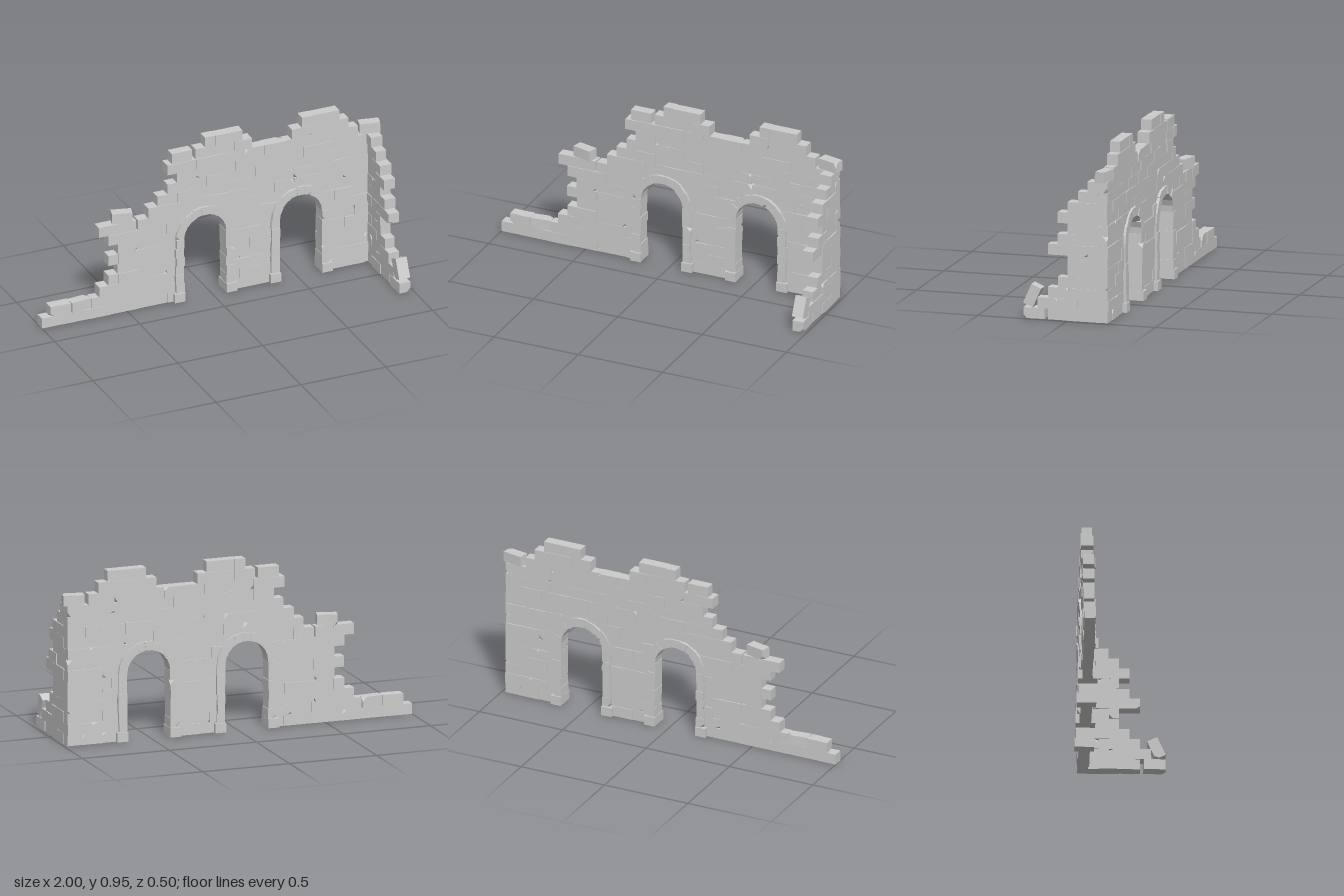
import * as THREE from 'three';
import { mergeGeometries } from 'three/addons/utils/BufferGeometryUtils.js';
import { ConvexGeometry } from 'three/addons/geometries/ConvexGeometry.js';

const H = 0.0594;                 // course height
const ARCHES = [-0.045, 0.518];   // arch centre lines
const SPRING = 0.37, R_IN = 0.124, R_OUT = 0.172, R_CUT = 0.148;
const BACK = -0.225, FRONT = -0.165;

let seed = 7;
const rnd = () => (seed = (seed * 16807) % 2147483647) / 2147483647;
const jitter = a => (rnd() - 0.5) * 2 * a;

// Stone with a four-cornered outline (in order), from z0 to z1; some get a chipped corner
function stone(quad, z0, z1, chipChance = 0.35) {
  const c = [];
  for (const z of [z0, z1]) for (const [x, y] of quad) c.push(new THREE.Vector3(x, y, z));
  const chip = rnd() < chipChance ? Math.floor(rnd() * 8) : -1;
  const pts = [];
  c.forEach((p, i) => {
    if (i !== chip) return pts.push(p);
    const k = i % 4, b = i - k;
    for (const n of [b + (k + 1) % 4, b + (k + 3) % 4, (i + 4) % 8]) {
      const d = c[n].clone().sub(p);
      pts.push(p.clone().addScaledVector(d.normalize(), Math.min(0.012 + rnd() * 0.02, p.distanceTo(c[n]) * 0.5)));
    }
  });
  const g = new ConvexGeometry(pts);
  g.deleteAttribute('uv');
  return g;
}
const block = (x0, x1, y0, y1, z0, z1, chip) =>
  stone([[x0, y0], [x1, y0], [x1, y1], [x0, y1]], z0, z1, chip);

// Half-width of the hole left in the wall for an arch, at height y
const holeAt = y => y <= SPRING ? R_CUT : Math.sqrt(Math.max(0, R_CUT ** 2 - (y - SPRING) ** 2));

// Splits a run into bricks; the ends may slope to follow an arch
function layRun(out, l0, l1, r0, r1, y, odd) {
  const cuts = [];
  let x = Math.max(l0, l1) + (odd ? 0.06 : 0.115);
  const end = Math.min(r0, r1);
  while (x < end - 0.045) { cuts.push(x); x += rnd() < 0.35 ? 0.17 : 0.115; }
  for (let i = 0; i <= cuts.length; i++) {
    const a0 = i ? cuts[i - 1] : l0, a1 = i ? a0 : l1;
    const b0 = i < cuts.length ? cuts[i] : r0, b1 = i < cuts.length ? b0 : r1;
    out.push(stone([[a0, y], [b0, y], [b1, y + H], [a1, y + H]], BACK + jitter(0.004), FRONT + jitter(0.004)));
  }
}

export function createModel() {
  const model = new THREE.Group();
  const mat = new THREE.MeshStandardMaterial({ color: 0xcccccc, flatShading: true });
  const add = (name, geos) => {
    const m = new THREE.Mesh(mergeGeometries(geos), mat);
    m.name = name;
    model.add(m);
    return m;
  };

  // Main wall: left and right ends of the runs in each course
  const courses = [
    [[-1, 0.98]], [[-0.95, -0.83], [-0.71, 0.98]], [[-0.665, 0.98]], [[-0.61, 0.98]],
    [[-0.555, 0.98]], [[-0.61, 0.98]], [[-0.555, 0.98]], [[-0.61, 0.98]],
    [[-0.665, -0.445], [-0.435, 0.98]], [[-0.375, 0.98]], [[-0.32, 0.98]], [[-0.26, 0.98]],
    [[-0.205, 0.98]], [[-0.265, 0.86]], [[-0.235, -0.115], [-0.095, 0.235], [0.47, 0.805]],
    [[-0.04, 0.18], [0.53, 0.75]],
  ];
  courses.forEach((runs, row) => {
    const y = row * H, out = [];
    for (const [a, b] of runs) {
      let l0 = a, l1 = a;
      const w0 = holeAt(y), w1 = holeAt(y + H);
      if (w0 > 0) for (const c of ARCHES) {
        if (c < a || c > b) continue;
        layRun(out, l0, l1, c - w0, c - w1, y, row % 2);
        l0 = c + w0; l1 = c + w1;
      }
      layRun(out, l0, l1, b, b, y, row % 2);
    }
    add('wallCourse' + (row + 1), out);
  });

  // Side wall: forward end of each course
  [0.112, 0.17, 0.112, 0.056, 0, 0, 0.112, 0.056, 0, 0.056, 0, -0.056, -0.112].forEach((end, row) => {
    const y = row * H, out = [];
    let z = FRONT - 0.006, next = row % 2 ? -0.055 : -0.112;
    while (z < end - 0.001) {
      const z1 = end - next < 0.04 ? end : next;
      out.push(block(0.916 + jitter(0.004), 0.98 + jitter(0.004), y, y + H, z, z1));
      z = z1;
      next = z + 0.113;
    }
    add('sideWallCourse' + (row + 1), out);
  });

  // Arches: footing, jamb stones and ring of wedge stones
  ARCHES.forEach((c, n) => {
    const arch = [];
    for (const s of [-1, 1]) {
      const side = (a, b, y0, y1, z0, z1) =>
        arch.push(block(c + Math.min(s * a, s * b), c + Math.max(s * a, s * b), y0, y1, z0, z1, 0.25));
      side(0.121, 0.183, 0, 0.052, -0.246, -0.14);
      for (let i = 0; i < 6; i++) {
        const h = (SPRING - 0.052) / 6, y = 0.052 + i * h;
        side(R_IN + jitter(0.003), R_OUT + jitter(0.004), y, y + h, -0.237 + jitter(0.003), -0.15 + jitter(0.003));
      }
    }
    const N = 11;
    for (let i = 0; i < N; i++) {
      const t0 = Math.PI * i / N, t1 = Math.PI * (i + 1) / N, ro = R_OUT + jitter(0.003);
      const p = (r, t) => [c + r * Math.cos(t), SPRING + r * Math.sin(t)];
      arch.push(stone([p(R_IN, t0), p(ro, t0), p(ro, t1), p(R_IN, t1)],
        -0.237 + jitter(0.003), -0.15 + jitter(0.003), 0.2));
    }
    add(n ? 'leftArch' : 'rightArch', arch);
  });

  // Loose stones: size, position, turn about x and y
  const loose = (name, size, pos, rx, ry) => {
    const [w, h, d] = size.map(v => v / 2);
    const m = add(name, [block(-w, w, -h, h, -d, d, 1)]);
    m.position.set(...pos);
    m.rotation.set(rx, ry, 0);
  };
  loose('looseCornerStone', [0.115, H, 0.058], [0.937, 13.5 * H, -0.193], 0, -0.2);
  loose('looseLedgeStone', [0.112, H, 0.058], [-0.52, 9.5 * H, -0.195], 0, -0.25);
  loose('looseLowStone', [0.116, H, 0.058], [-0.77, 1.5 * H, -0.195], 0, 0.1);
  loose('fallenStone', [0.065, H, 0.118], [0.948, H / 2, 0.19], 0, 0.04);
  loose('leaningStone', [0.065, 0.115, H], [0.948, 0.125, 0.2], -0.42, 0);
  return model;
}
